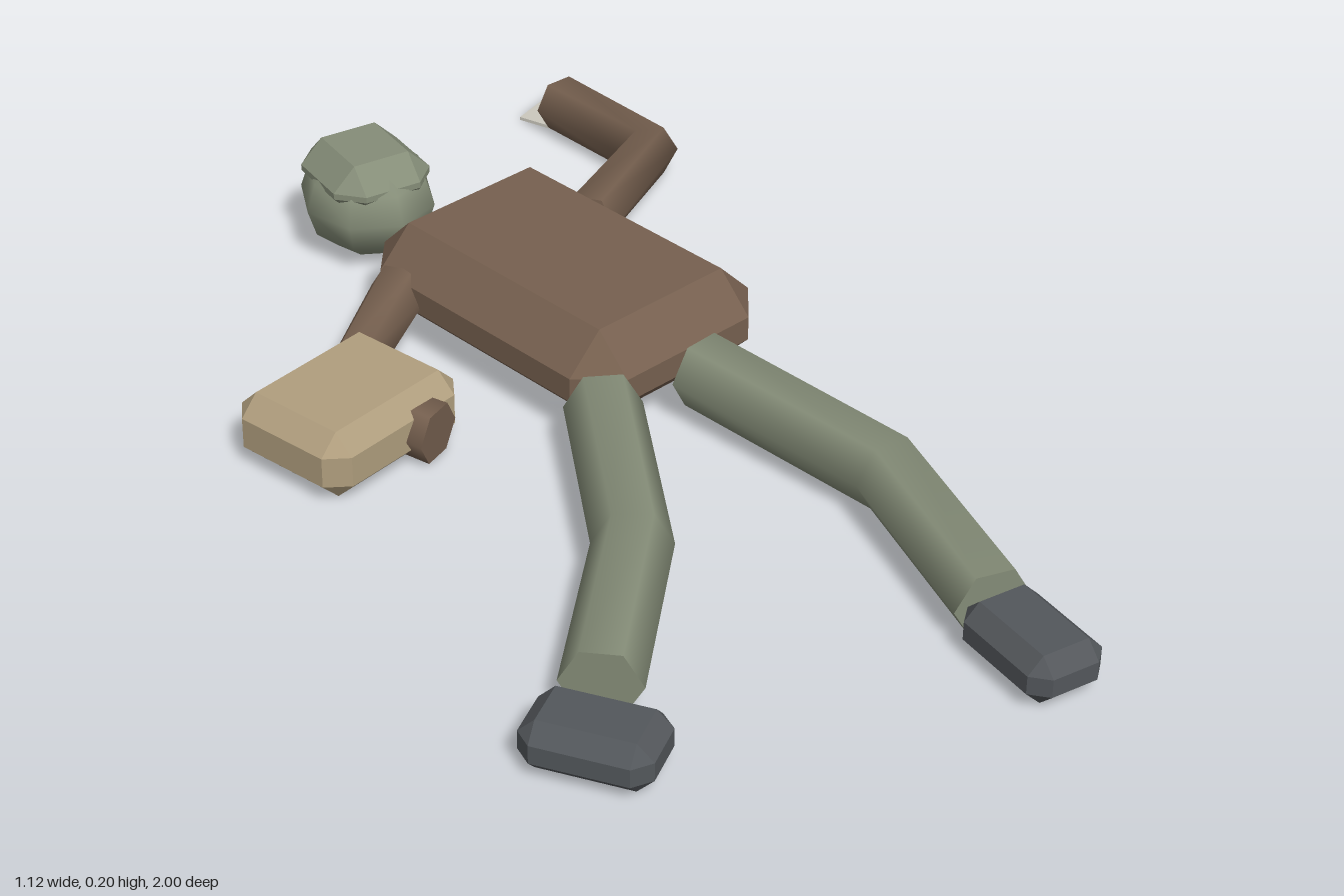
import * as THREE from 'three';
import { ConvexGeometry } from 'three/addons/geometries/ConvexGeometry.js';

const mat = (name, color) => {
  const m = new THREE.MeshStandardMaterial({ color });
  m.name = name;
  return m;
};

// Box with every edge cut back by c: a flat face per side, strips on edges, triangles on corners
function chamferBox(w, h, d, c) {
  const half = [w / 2, h / 2, d / 2], pts = [];
  for (const sx of [-1, 1]) for (const sy of [-1, 1]) for (const sz of [-1, 1])
    for (let full = 0; full < 3; full++) {
      const p = half.map((v, i) => (i === full ? v : v - c));
      pts.push(new THREE.Vector3(sx * p[0], sy * p[1], sz * p[2]));
    }
  return new ConvexGeometry(pts);
}

// Six-sided bent limb through joint points, smooth along its sides and capped at both ends
function limbGeometry(joints, r) {
  const N = 6, pos = [], nor = [], idx = [];
  const P = joints.map((j) => new THREE.Vector3(...j));
  const up = new THREE.Vector3(0, 1, 0);
  const dirs = P.slice(1).map((p, i) => p.clone().sub(P[i]).normalize());
  const rings = P.map((p, i) => {
    const t = dirs[Math.max(i - 1, 0)].clone().add(dirs[Math.min(i, dirs.length - 1)]).normalize();
    const side = up.clone().cross(t).normalize();
    const top = t.clone().cross(side);
    const ring = [];
    for (let k = 0; k < N; k++) {
      const a = (k / N) * Math.PI * 2;
      const n = side.clone().multiplyScalar(Math.cos(a)).addScaledVector(top, Math.sin(a));
      ring.push({ n, p: p.clone().addScaledVector(n, r) });
    }
    return { t, ring };
  });
  const add = (p, n) => { pos.push(p.x, p.y, p.z); nor.push(n.x, n.y, n.z); return pos.length / 3 - 1; };
  rings.forEach(({ ring }) => ring.forEach((v) => add(v.p, v.n)));
  for (let i = 0; i < rings.length - 1; i++)
    for (let k = 0; k < N; k++) {
      const a = i * N + k, b = i * N + (k + 1) % N;
      idx.push(a, b, b + N, a, b + N, a + N);
    }
  for (const [ri, sign] of [[0, -1], [rings.length - 1, 1]]) {
    const n = rings[ri].t.clone().multiplyScalar(sign);
    const c = add(P[ri], n);
    rings[ri].ring.forEach((v) => add(v.p, n));
    for (let k = 0; k < N; k++) {
      const a = c + 1 + k, b = c + 1 + (k + 1) % N;
      idx.push(c, sign > 0 ? a : b, sign > 0 ? b : a);
    }
  }
  const g = new THREE.BufferGeometry();
  g.setAttribute('position', new THREE.Float32BufferAttribute(pos, 3));
  g.setAttribute('normal', new THREE.Float32BufferAttribute(nor, 3));
  g.setIndex(idx);
  return g;
}

export function createModel() {
  const group = new THREE.Group();
  const brown = mat('brown cloth', 0x76604f);
  const green = mat('grey green cloth', 0x858d78);
  const dark = mat('dark boot', 0x53575b);
  const tan = mat('tan pack', 0xb09e7e);
  const pale = mat('pale paper', 0xcbc8bd);

  const add = (name, geo, material, [x, y, z] = [0, 0, 0], turn = 0) => {
    const m = new THREE.Mesh(geo, material);
    m.name = name;
    m.position.set(x, y, z);
    m.rotation.y = THREE.MathUtils.degToRad(turn);
    group.add(m);
  };

  // Body lying on its back, slightly turned
  add('torso', chamferBox(0.41, 0.175, 0.6, 0.066), brown, [0.087, 0.103, -0.243], 12);

  // Flattened head with a chamfered cap
  const head = new THREE.SphereGeometry(1, 8, 6);
  head.scale(0.119, 0.1, 0.13);
  add('head', head, green, [-0.044, 0.105, -0.696]);
  add('cap', chamferBox(0.19, 0.095, 0.206, 0.042), green, [-0.044, 0.157, -0.7]);

  // Arms
  add('leftArm', limbGeometry([[0.24, 0.1, -0.42], [0.51, 0.057, -0.64], [0.467, 0.055, -0.893]], 0.052), brown);
  add('rightArm', limbGeometry([[-0.14, 0.095, -0.4], [-0.364, 0.065, -0.205], [-0.272, 0.055, -0.037]], 0.052), brown);

  // Legs
  add('leftLeg', limbGeometry([[0.166, 0.083, 0.058], [0.267, 0.07, 0.45], [0.208, 0.06, 0.8]], 0.065), green);
  add('rightLeg', limbGeometry([[-0.024, 0.083, 0.065], [-0.177, 0.07, 0.4], [-0.393, 0.06, 0.66]], 0.065), green);

  // Boots
  const boot = chamferBox(0.137, 0.086, 0.208, 0.027);
  add('leftBoot', boot, dark, [0.208, 0.049, 0.896]);
  add('rightBoot', boot, dark, [-0.457, 0.049, 0.75], 38);

  // Pack held in the right arm and a sheet by the left hand
  add('pack', chamferBox(0.306, 0.122, 0.245, 0.034), tan, [-0.372, 0.064, -0.153], 18);
  add('paper', new THREE.BoxGeometry(0.118, 0.006, 0.087), pale, [0.488, 0.008, -0.938], 27);

  return group;
}
